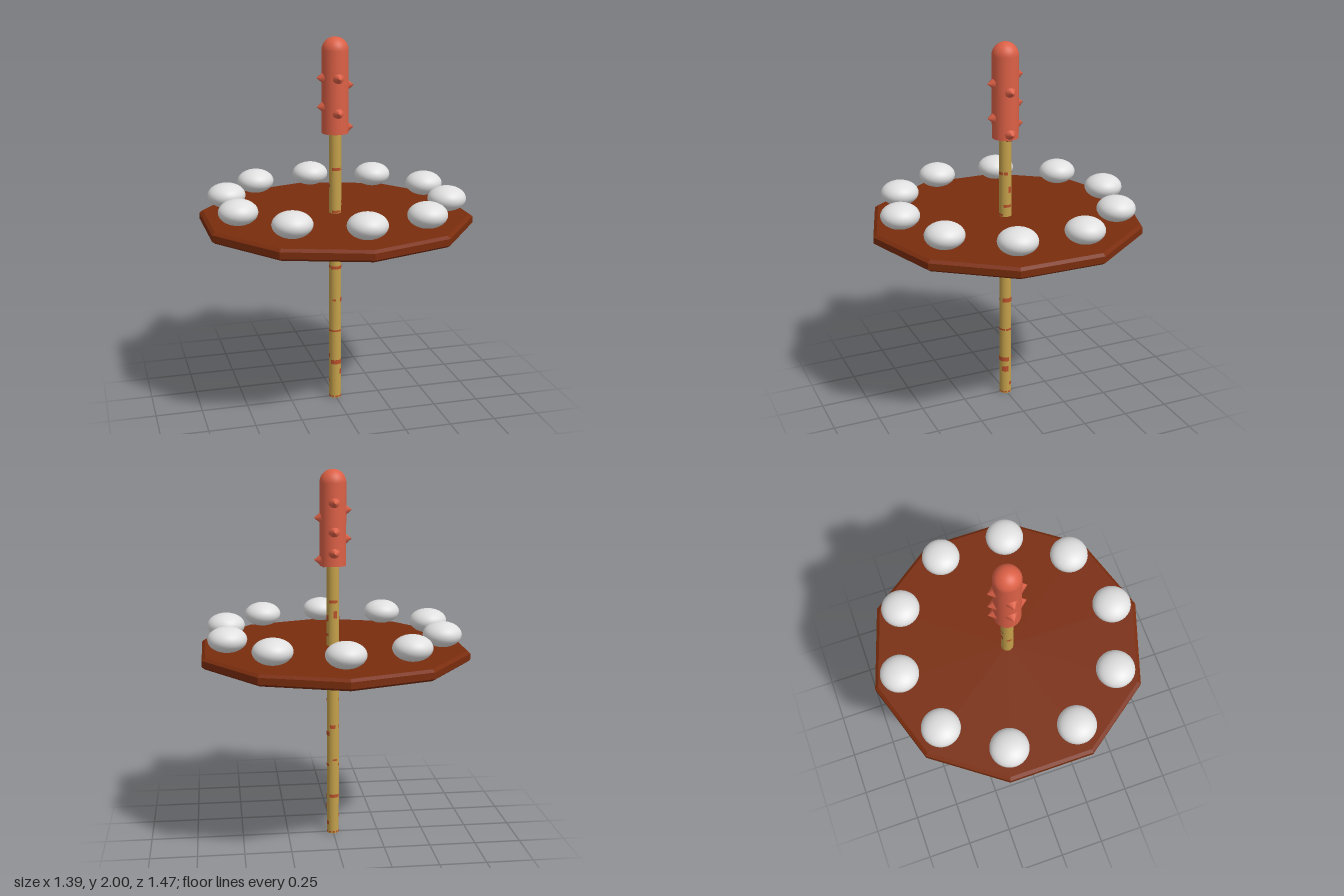
import * as THREE from 'three';

const material = (name, color) => {
  const m = new THREE.MeshStandardMaterial({ color });
  m.name = name;
  return m;
};

export function createModel() {
  const model = new THREE.Group();
  model.name = 'trayOnPole';
  const wood = material('darkWood', 0x7a2d0e);
  const tan = material('tanPole', 0xc4a04a);
  const rust = material('rustSpots', 0xb8502a);
  const coral = material('coralHandle', 0xdc6046);
  const white = material('white', 0xe0e0e0);

  const add = (name, geometry, mat, x = 0, y = 0, z = 0, parent = model) => {
    const mesh = new THREE.Mesh(geometry, mat);
    mesh.name = name;
    mesh.position.set(x, y, z);
    parent.add(mesh);
    return mesh;
  };
  const group = (name) => {
    const g = new THREE.Group();
    g.name = name;
    model.add(g);
    return g;
  };
  const lathe = (points, sides) =>
    new THREE.LatheGeometry(points.map(([r, y]) => new THREE.Vector2(r, y)), sides);

  // Ten-sided tray with bevelled rims and flat faces
  const trayGeometry = lathe([[0, 1.01], [0.715, 1.01], [0.733, 1.023],
    [0.733, 1.057], [0.715, 1.07], [0, 1.07]], 10).toNonIndexed();
  trayGeometry.computeVertexNormals();
  add('tray', trayGeometry, wood);

  // Pole
  add('pole', new THREE.CylinderGeometry(0.033, 0.033, 1.52, 20), tan, 0, 0.76, 0);

  // Thin curved spots on the pole: height, angle from the front, arc, thickness
  const spots = group('poleSpots');
  const spot = (y, angle, arc, height) => add('poleSpot',
    new THREE.CylinderGeometry(0.0342, 0.0342, height, 10, 1, true, angle - arc / 2, arc),
    rust, 0, y, 0, spots);
  spot(0.008, 0, Math.PI * 2, 0.01);
  [[0.215, 0, 2, 0.025], [0.4, 0, 2.2, 0.01], [0.58, -0.4, 0.5, 0.01],
    [0.765, 0, 2, 0.018], [0.95, 0, 1.4, 0.015], [1.08, 0, 1.6, 0.012],
    [1.31, 0, 1.6, 0.015], [0.155, 0.8, 0.4, 0.03],
    [0.06, 2.1, 0.5, 0.02], [0.155, 1.3, 0.9, 0.035], [0.215, 1.4, 0.9, 0.025],
    [0.4, 1.8, 1.1, 0.012], [0.58, 1.57, 1.8, 0.025], [0.77, 1.3, 0.9, 0.015],
    [0.95, 1.57, 1.5, 0.01], [1.13, 1.57, 1.4, 0.015], [1.22, 2, 0.6, 0.035],
    [1.31, 1.3, 0.6, 0.015], [0.22, 3.3, 1.8, 0.018], [0.43, 3.4, 0.8, 0.01],
    [0.62, 3, 0.9, 0.02], [1.24, 3.4, 0.6, 0.04], [1.31, 3.1, 1.4, 0.015],
    [0.1, 4.6, 0.6, 0.02], [0.25, 4.8, 0.6, 0.02], [0.4, 4.6, 1.2, 0.012],
    [0.62, 4.4, 0.6, 0.02], [0.77, 4.7, 1, 0.015], [1.22, 4.7, 0.8, 0.02],
  ].forEach((s) => spot(...s));

  // Round-topped handle
  const dome = [];
  for (let i = 0; i <= 8; i++) {
    const a = (i / 8) * Math.PI / 2;
    dome.push([0.07 * Math.cos(a), 1.93 + 0.07 * Math.sin(a)]);
  }
  add('handle', lathe([[0.07, 1.5], ...dome], 28), coral);
  const cap = add('handleBase', new THREE.CircleGeometry(0.07, 28), coral, 0, 1.5, 0);
  cap.rotation.x = Math.PI / 2;

  // Small pointed studs on four sides of the handle
  const studs = group('handleStuds');
  const studGeometry = new THREE.ConeGeometry(0.042, 0.05, 10);
  const studHeights = [[1.79, 1.61], [1.75, 1.53], [1.83, 1.68, 1.57], [1.79, 1.64]];
  studHeights.forEach((heights, side) => {
    const a = side * Math.PI / 2;
    const out = new THREE.Vector3(Math.sin(a), 0, Math.cos(a));
    for (const y of heights) {
      const stud = add('handleStud', studGeometry, coral, out.x * 0.075, y, out.z * 0.075, studs);
      stud.quaternion.setFromUnitVectors(new THREE.Vector3(0, 1, 0), out);
    }
  });

  // Ring of flattened balls on the tray
  const balls = group('balls');
  const ballGeometry = new THREE.SphereGeometry(0.102, 32, 20);
  ballGeometry.scale(1, 0.65, 1);
  for (let i = 0; i < 10; i++) {
    const a = (i / 10) * Math.PI * 2;
    add('ball', ballGeometry, white, 0.005 + 0.588 * Math.sin(a), 1.155, 0.588 * Math.cos(a), balls);
  }
  return model;
}
